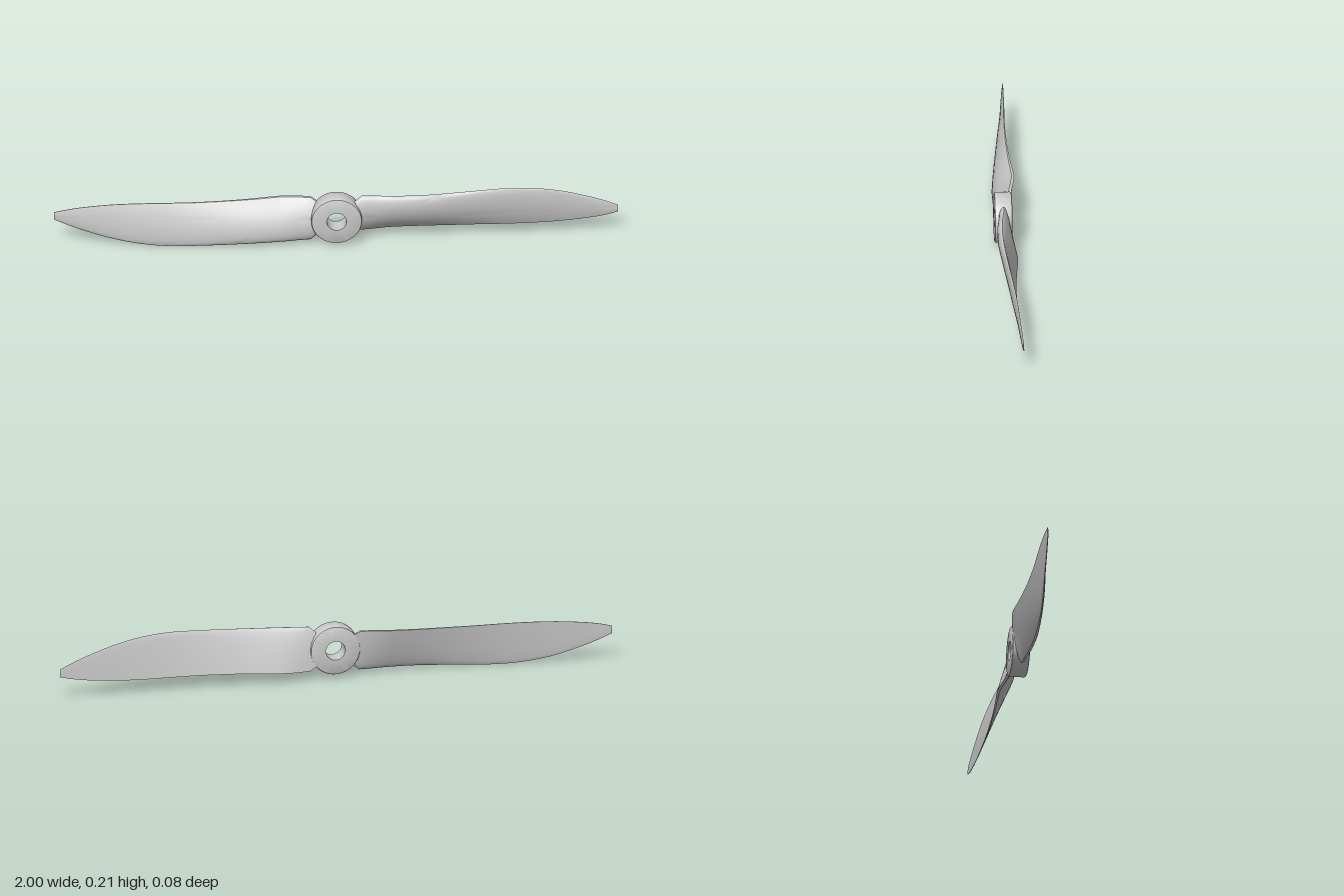
import * as THREE from 'three';
import { toCreasedNormals } from 'three/addons/utils/BufferGeometryUtils.js';

const CENTER_Y = 0.108;
const material = new THREE.MeshStandardMaterial({ color: 0xcccccc });

// Blade stations: x, leading edge y and z, trailing edge y and z, camber, trailing thickness
const stations = [
  [0.09, 0.195, 0.0, 0.04, -0.034, 0.03, 0.01],
  [0.14, 0.196, 0.004, 0.04, -0.041, 0.032, 0.01],
  [0.2, 0.197, 0.01, 0.042, -0.045, 0.034, 0.009],
  [0.3, 0.2, 0.014, 0.047, -0.038, 0.031, 0.007],
  [0.4, 0.205, 0.012, 0.05, -0.032, 0.025, 0.005],
  [0.5, 0.21, 0.007, 0.052, -0.029, 0.02, 0.004],
  [0.6, 0.213, 0.0, 0.052, -0.028, 0.016, 0.003],
  [0.7, 0.206, -0.009, 0.053, -0.03, 0.013, 0.003],
  [0.8, 0.187, -0.019, 0.057, -0.032, 0.009, 0.002],
  [0.9, 0.156, -0.027, 0.067, -0.034, 0.006, 0.002],
  [0.96, 0.133, -0.032, 0.077, -0.035, 0.004, 0.002],
  [1.0, 0.115, -0.035, 0.087, -0.037, 0.002, 0.002],
];

// Closed airfoil outline: over the front to the trailing edge, back along the rear
function section(x, leadY, leadZ, trailY, trailZ, camber, thick) {
  const ring = [];
  const add = (s, offset) => ring.push(new THREE.Vector3(
    x,
    THREE.MathUtils.lerp(leadY, trailY, s),
    THREE.MathUtils.lerp(leadZ, trailZ, s) + offset
  ));
  for (let i = 0; i <= 16; i++) {
    const s = (1 - Math.cos((Math.PI * i) / 16)) / 2;
    add(s, camber * Math.sqrt(s) * (1 - s * s) / 0.535 + thick * s);
  }
  for (let i = 10; i > 0; i--) {
    const s = (1 - Math.cos((Math.PI * i) / 10)) / 2;
    add(s, -0.2 * camber * Math.sqrt(s) * (1 - s) / 0.385);
  }
  return ring;
}

function bladeGeometry() {
  const curve = (pick) => new THREE.CatmullRomCurve3(
    stations.map((s) => new THREE.Vector3(...pick(s))), false, 'catmullrom', 0.5);
  const lead = curve((s) => [s[0], s[1], s[2]]);
  const trail = curve((s) => [s[0], s[3], s[4]]);
  const shape = curve((s) => [s[0], s[5], s[6]]);

  // Narrow root ring sunk into the hub, then the smooth twisted blade
  const rings = [section(0.058, 0.165, -0.002, 0.06, -0.026, 0.024, 0.01)];
  const steps = (stations.length - 1) * 5;
  for (let i = 0; i <= steps; i++) {
    const a = lead.getPoint(i / steps);
    const b = trail.getPoint(i / steps);
    const c = shape.getPoint(i / steps);
    rings.push(section(a.x, a.y, a.z, b.y, b.z, c.y, c.z));
  }

  const n = rings[0].length;
  const last = (rings.length - 1) * n;
  const index = [];
  for (let r = 0; r < rings.length - 1; r++) {
    for (let j = 0; j < n; j++) {
      const a = r * n + j;
      const b = r * n + ((j + 1) % n);
      index.push(a, b, a + n, b, b + n, a + n);
    }
  }
  // Root and tip caps
  for (let j = 1; j < n - 1; j++) {
    index.push(0, j + 1, j, last, last + j, last + j + 1);
  }
  const geometry = new THREE.BufferGeometry().setFromPoints(rings.flat());
  geometry.setIndex(index);
  geometry.translate(0, -CENTER_Y, 0);
  return toCreasedNormals(geometry, 0.7);
}

// Bored hub ring with softened rims, its axis along z
function hubGeometry() {
  const profile = [
    [0.035, -0.03], [0.084, -0.03], [0.088, -0.028], [0.09, -0.024],
    [0.09, 0.027], [0.088, 0.031], [0.084, 0.033], [0.035, 0.033], [0.035, -0.03],
  ].map(([r, h]) => new THREE.Vector2(r, h));
  const geometry = new THREE.LatheGeometry(profile, 64);
  geometry.rotateX(Math.PI / 2);
  return toCreasedNormals(geometry, 0.6);
}

export function createModel() {
  const model = new THREE.Group();
  model.name = 'propeller';

  const hub = new THREE.Mesh(hubGeometry(), material);
  hub.name = 'hub';
  hub.position.y = CENTER_Y;
  model.add(hub);

  // Two identical blades, half a turn apart
  const blade = bladeGeometry();
  ['leftBlade', 'rightBlade'].forEach((name, i) => {
    const mesh = new THREE.Mesh(blade, material);
    mesh.name = name;
    mesh.position.y = CENTER_Y;
    mesh.rotation.z = i * Math.PI;
    model.add(mesh);
  });
  return model;
}
